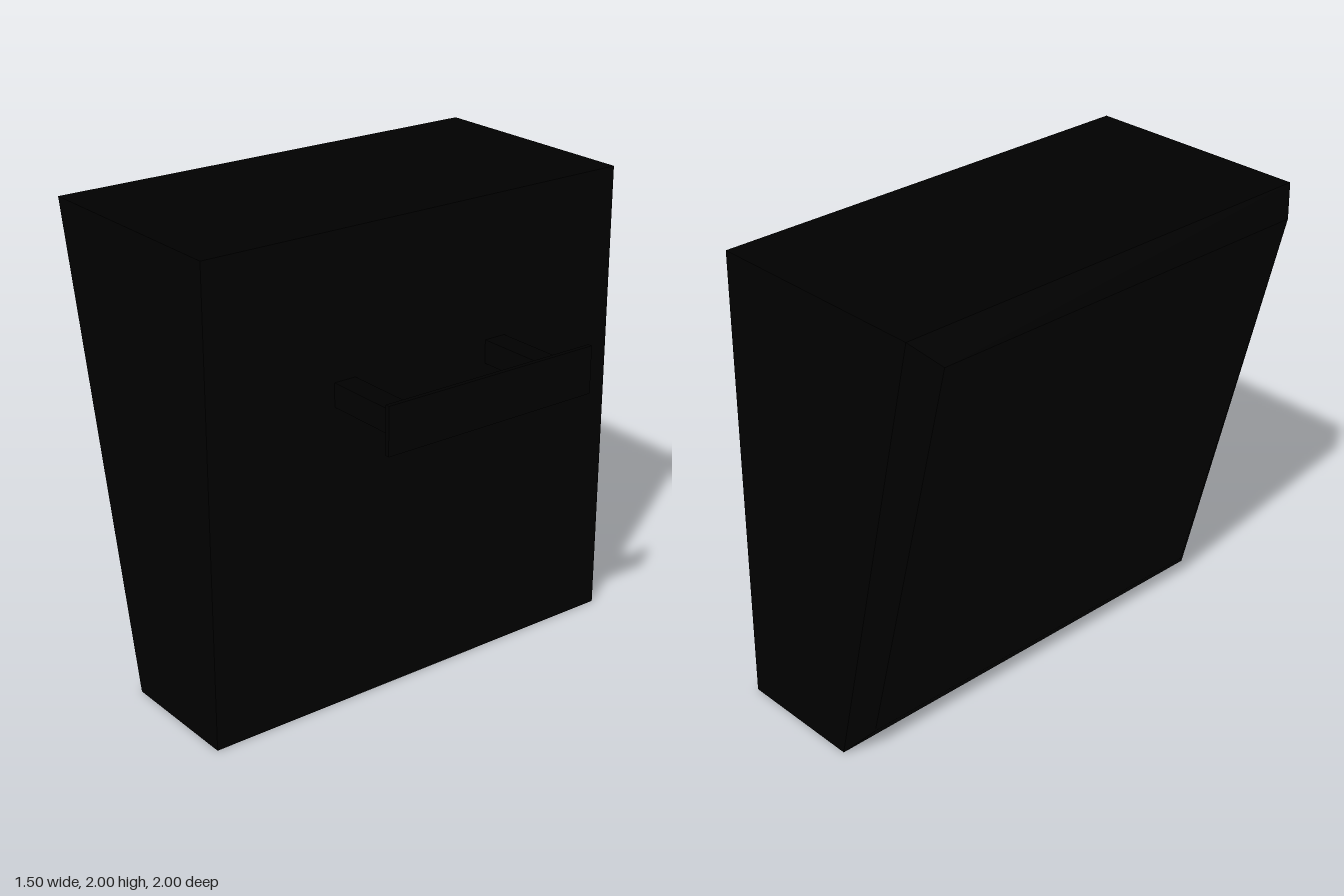
import * as THREE from 'three';

const black = new THREE.MeshStandardMaterial({ color: 0x000000, flatShading: true });

function addBox(parent, name, size, position) {
  const mesh = new THREE.Mesh(new THREE.BoxGeometry(...size), black);
  mesh.name = name;
  mesh.position.set(...position);
  parent.add(mesh);
}

// Rectangular loop across z whose top and bottom edges sit at different x
function loop(xTop, xBottom, y0, y1, z) {
  return [[xBottom, y0, z], [xBottom, y0, -z], [xTop, y1, -z], [xTop, y1, z]];
}

// Wedge cabinet: flat mounting face, sloping rim, bevelled front panel
function cabinetGeometry() {
  const loops = [
    loop(0.33, 0.33, 0, 2, 1),
    loop(-0.67, -0.23, 0, 2, 1),
    loop(-0.75, -0.31, 0.1, 1.9, 0.9),
  ];
  const index = [0, 1, 2, 0, 2, 3];
  for (let l = 0; l < 2; l++) {
    for (let i = 0; i < 4; i++) {
      const a = l * 4 + i, b = l * 4 + (i + 1) % 4;
      index.push(a, a + 4, b, b, a + 4, b + 4);
    }
  }
  index.push(8, 10, 9, 8, 11, 10);
  const indexed = new THREE.BufferGeometry();
  indexed.setAttribute('position', new THREE.Float32BufferAttribute(loops.flat(2), 3));
  indexed.setIndex(index);
  const geometry = indexed.toNonIndexed();
  geometry.computeVertexNormals();
  return geometry;
}

export function createModel() {
  const model = new THREE.Group();
  model.name = 'wallCabinet';

  const cabinet = new THREE.Mesh(cabinetGeometry(), black);
  cabinet.name = 'cabinet';
  model.add(cabinet);

  // Wall bracket: two arms and a thin plate
  const bracket = new THREE.Group();
  bracket.name = 'bracket';
  for (const [name, z] of [['rearArm', -0.38], ['frontArm', 0.37]]) {
    addBox(bracket, name, [0.4, 0.1, 0.1], [0.525, 1.35, z]);
  }
  addBox(bracket, 'mountingPlate', [0.02, 0.2, 1], [0.74, 1.36, -0.01]);
  model.add(bracket);

  return model;
}
